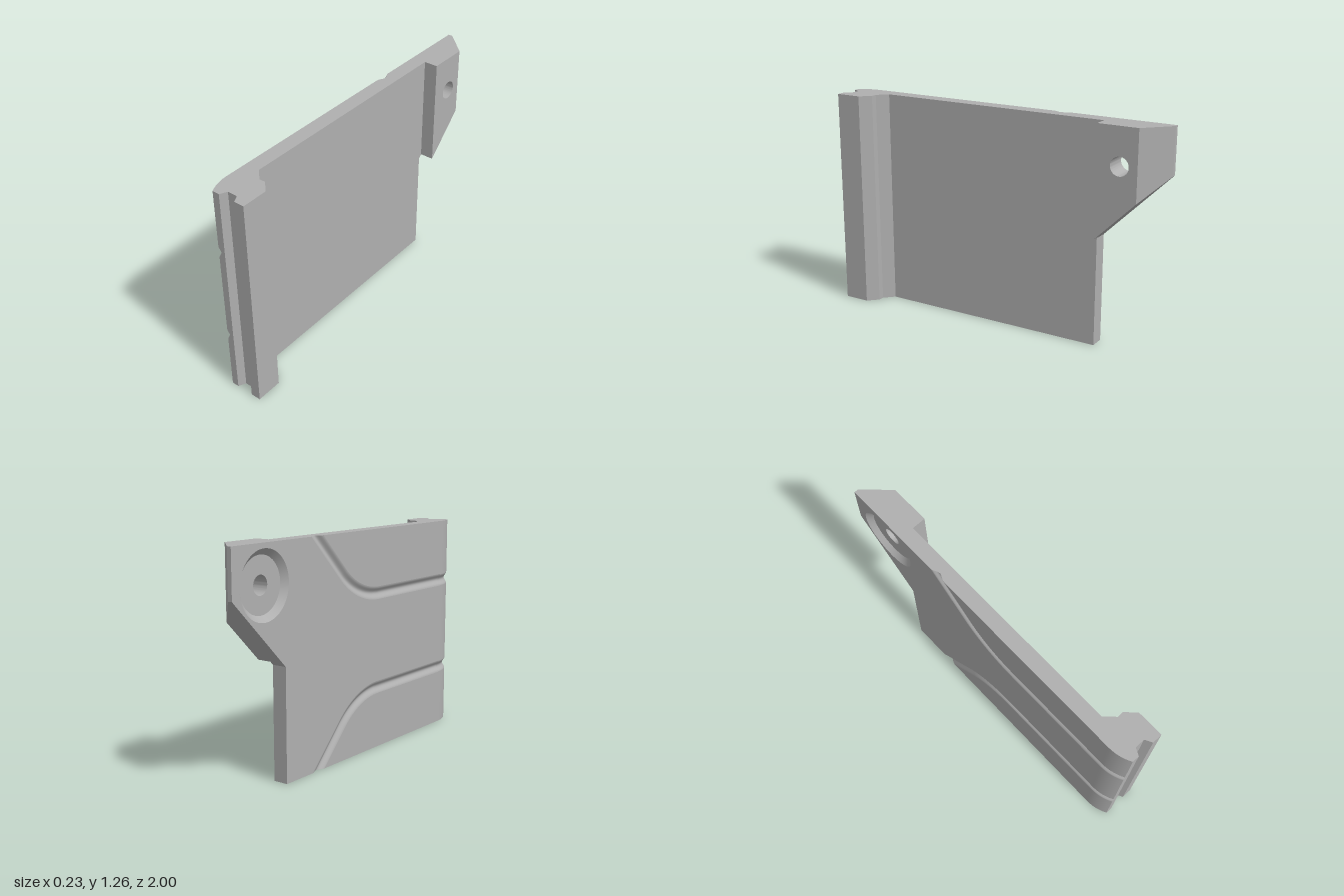
import * as THREE from 'three';
import { toCreasedNormals } from 'three/addons/utils/BufferGeometryUtils.js';

const H = 1.26, OUT = -0.115;           // height, outer face x
const BACK = -0.615, STEP = 0.62;       // lower rear edge and where the slope starts
const ROLL = 0.87, ROLL_R = 0.26;       // rounded front corner of the outer face
const W = 0.036, DEPTH = 0.018;         // groove half width and depth
const BORE = { y: 1.05, z: -0.765, r: 0.052, floor: 0.15, rim: 0.182, x: -0.085 };
const GROOVES = [{ y: 0.9, sign: 1 }, { y: 0.355, sign: -1 }];
const END_Z = -0.35;

const slopeY = z => STEP + (BACK - z) * (1 - STEP) / (1 + BACK);
const rollX = z => OUT + ROLL_R - Math.sqrt(ROLL_R ** 2 - Math.max(0, z - ROLL) ** 2);
const steps = (n, a, b) => Array.from({ length: n + 1 }, (_, i) => a + (b - a) * i / n);
const across = steps(12, W, -W);        // samples across a groove
const sink = s => DEPTH * (1 + Math.cos(Math.PI * s / W)) / 2;
const circle = (u, v, r) => steps(63, 0, Math.PI * 2 * 63 / 64).map(a => [u + r * Math.cos(a), v + r * Math.sin(a)]);

// Flat polygon with holes, placed in space by map(u, v)
function face(pts, map, holes = []) {
  const vec = list => list.map(p => new THREE.Vector2(p[0], p[1]));
  const shape = new THREE.Shape(vec(pts));
  holes.forEach(h => shape.holes.push(new THREE.Path(vec(h))));
  const geo = new THREE.ShapeGeometry(shape);
  const pos = geo.attributes.position;
  for (let i = 0; i < pos.count; i++) pos.setXYZ(i, ...map(pos.getX(i), pos.getY(i)));
  geo.computeVertexNormals();
  return geo;
}

// Smooth surface through rows of points
function surface(rows) {
  const n = rows[0].length, index = [];
  for (let i = 0; i < rows.length - 1; i++) {
    for (let j = 0; j < n - 1; j++) {
      const a = i * n + j, b = a + n;
      index.push(a, b, b + 1, a, b + 1, a + 1);
    }
  }
  const geo = new THREE.BufferGeometry();
  geo.setAttribute('position', new THREE.Float32BufferAttribute(rows.flat(2), 3));
  geo.setIndex(index);
  geo.computeVertexNormals();
  return geo;
}

// Groove centre line: straight, a 45 degree bend, then straight to the panel edge
function groovePath({ y, sign }) {
  const end = sign > 0 ? H : 0, R = 0.48;
  const bend = END_Z + Math.abs(end - y) + R * Math.tan(Math.PI / 8);
  const path = [{ z: ROLL, y, n: [0, 1] }];
  steps(16, 0, Math.PI / 4).forEach(a => path.push({
    z: bend - R * Math.sin(a), y: y + sign * R * (1 - Math.cos(a)),
    n: [sign * Math.sin(a), Math.cos(a)],
  }));
  path.push({ z: END_Z, y: end, n: [sign * Math.SQRT2, 0] });
  return path;
}
const offset = (path, s) => path.map(p => [p.z + p.n[0] * s, p.y + p.n[1] * s]);

export function createModel() {
  const group = new THREE.Group();
  const grey = new THREE.MeshStandardMaterial({ color: 0xb0b0b0 });
  grey.name = 'grey';
  const add = (name, geo) => {
    const mesh = new THREE.Mesh(geo, grey);
    mesh.name = name;
    group.add(mesh);
    return mesh;
  };

  // Outer face in three areas divided by the grooves
  const [upper, lower] = GROOVES.map(groovePath);
  const onOuter = (z, y) => [OUT, y, z];
  add('outerFaceTop', face([[ROLL, H], ...offset(upper, W)], onOuter));
  add('outerFaceMiddle', face([
    ...offset(upper, -W), [-1, H], [-1, 1], [BACK, STEP], [BACK, 0],
    ...offset(lower, W).reverse(),
  ], onOuter, [circle(BORE.z, BORE.y, BORE.rim)]));
  add('outerFaceBottom', face([[ROLL, 0], ...offset(lower, -W)], onOuter));

  // Grooves
  [upper, lower].forEach((path, i) => add(i ? 'lowerGroove' : 'upperGroove',
    surface(path.map(p => across.map(s =>
      [OUT + sink(s), p.y + p.n[1] * s, p.z + p.n[0] * s])))));

  // Rounded front corner, with the grooves running over it
  const column = [[0, 0]];
  [...GROOVES].reverse().forEach(g =>
    [...across].reverse().forEach(s => column.push([g.y + s, sink(s)])));
  column.push([H, 0]);
  const rollZ = steps(12, ROLL, 1);
  add('roundedCorner', surface(rollZ.map(z => column.map(([y, d]) => [rollX(z) + d, y, z]))));

  // Front land beside the rounded corner
  add('frontLand', face([[-0.04, 0], [-0.04, H],
    ...column.map(([y, d]) => [rollX(1) + d, y]).reverse()], (x, y) => [x, y, 1]));

  // Upright walls following the plan profile (x, z)
  const wall = (name, a, b, lowA, lowB, high, holes) => {
    const L = Math.hypot(b[0] - a[0], b[1] - a[1]);
    add(name, face([[lowA, 0], [high, 0], [high, L], [lowB, L]], (y, t) =>
      [a[0] + (b[0] - a[0]) * t / L, y, a[1] + (b[1] - a[1]) * t / L], holes));
  };
  const boss = [[OUT, -1], [-0.09, -1], [0.05, -0.865], [0.05, -0.635], [-0.03, -0.635], [-0.03, BACK]];
  const rail = [[-0.03, BACK], [-0.03, 0.74], [0.025, 0.795], [0.06, 0.795], [0.115, 0.85],
    [0.115, 1], [0.058, 1], [0.036, 0.96], [-0.02, 0.96], [-0.04, 1]];
  for (let i = 0; i < boss.length - 1; i++) {
    const a = boss[i], b = boss[i + 1];
    const holes = i === 2 ? [circle(BORE.y, BORE.z - a[1], BORE.r)] : [];
    wall('bossWall', a, b, slopeY(a[1]), slopeY(b[1]), H, holes);
  }
  for (let i = 0; i < rail.length - 1; i++) wall(i ? 'railWall' : 'innerFace', rail[i], rail[i + 1], 0, 0, H);
  wall('rearEdge', [OUT, BACK], [-0.03, BACK], 0, 0, STEP);

  // Top, bottom and sloped ends, notched where the grooves run out
  const notch = across.map(s => [OUT + sink(s), END_Z + s * Math.SQRT2]);
  const outerEdge = [...rollZ.map(z => [rollX(z), z]).reverse(), ...notch];
  add('topEnd', face([...boss, ...rail.slice(1), ...outerEdge].map(([x, z]) => [z, x]),
    (z, x) => [x, H, z]));
  add('bottomEnd', face([...rail, ...outerEdge, [OUT, BACK]], (x, z) => [x, 0, z]));
  add('slopedEnd', face([...boss, [OUT, BACK]], (x, z) => [x, slopeY(z), z]));

  // Through hole with a wide countersunk recess
  const profile = [[BORE.r, 0.05], [BORE.r, BORE.x], [BORE.floor, BORE.x], [BORE.rim, OUT]];
  const bore = add('countersunkHole', toCreasedNormals(
    new THREE.LatheGeometry(profile.map(p => new THREE.Vector2(...p)), 64), 0.5));
  bore.rotation.z = -Math.PI / 2;
  bore.position.set(0, BORE.y, BORE.z);

  return group;
}
